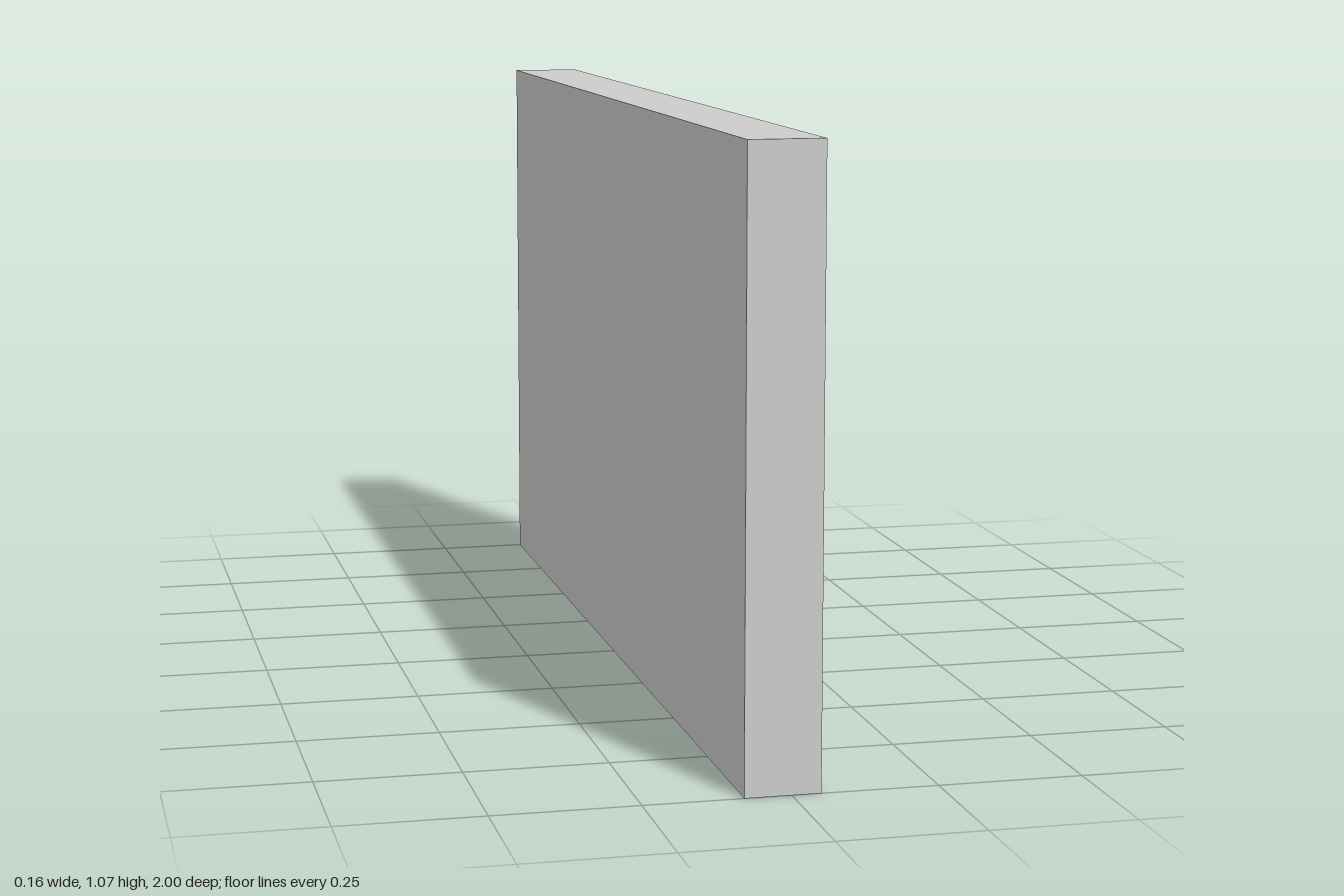
import * as THREE from 'three';
import { toCreasedNormals } from 'three/addons/utils/BufferGeometryUtils.js';

// Outlines are [u, y] with u = -z, counter-clockwise; depth runs along +x.
const BACK = -0.08, FRONT = 0.05, FLOOR = 0.023, POCKET = -0.042;

const rect = (u0, y0, u1, y1) => [[u0, y0], [u1, y0], [u1, y1], [u0, y1]];

// Fourteen-sided oval, shrunk by an inset
function oval(inset) {
  const q = [[1, 0], [0.916, 0.525], [0.68, 0.85], [0.326, 1]];
  const top = [...q, ...q.slice(1).reverse().map(([u, y]) => [-u, y]), [-1, 0]];
  const low = top.slice(1, -1).reverse().map(([u, y]) => [u, -y]);
  return [...top, ...low].map(([u, y]) => [0.422 + u * (0.418 - inset), 0.535 + y * (0.286 - inset)]);
}

// Skin between successive [outline, depth] rings, optionally closed at the front
function loft(rings, closed = false) {
  const n = rings[0][0].length, pos = [], idx = [];
  for (const [loop, d] of rings) for (const [u, y] of loop) pos.push(u, y, d);
  for (let r = 0; r < rings.length - 1; r++) {
    for (let i = 0; i < n; i++) {
      const a = r * n + i, b = r * n + (i + 1) % n;
      idx.push(a, b, b + n, a, b + n, a + n);
    }
  }
  if (closed) {
    const c = pos.length / 3, s = c - n;
    pos.push(0.422, 0.535, rings[rings.length - 1][1] + 0.001);
    for (let i = 0; i < n; i++) idx.push(s + i, s + (i + 1) % n, c);
  }
  const g = new THREE.BufferGeometry();
  g.setAttribute('position', new THREE.Float32BufferAttribute(pos, 3));
  g.setIndex(idx);
  return toCreasedNormals(g, 0.65);
}

// Flat face at a depth, with holes
function face(outline, depth, holes = []) {
  const pts = (l) => l.map(([u, y]) => new THREE.Vector2(u, y));
  const shape = new THREE.Shape(pts(outline));
  for (const h of holes) shape.holes.push(new THREE.Path(pts(h)));
  return new THREE.ShapeGeometry(shape).translate(0, 0, depth);
}

export function createModel() {
  const model = new THREE.Group();
  model.name = 'wallPanel';
  const body = new THREE.Group();
  body.name = 'panelBody';
  body.rotation.y = Math.PI / 2;
  model.add(body);
  const material = new THREE.MeshStandardMaterial({ color: 0xcccccc });
  const add = (name, geometry) => {
    const mesh = new THREE.Mesh(geometry, material);
    mesh.name = name;
    body.add(mesh);
  };
  // Walls of an opening face inward
  const opening = (loop, d0, d1) => {
    const back = [...loop].reverse();
    return loft([[back, d0], [back, d1]]);
  };

  const outer = rect(-1, 0, 1, 1.067);
  const inner = rect(-0.935, 0.07, 0.935, 0.998);
  const flared = [[-0.877, 0.361], [-0.47, 0.361], [-0.144, 0.24], [-0.144, 0.848], [-0.47, 0.81], [-0.877, 0.81]];
  const ovalHole = oval(0);

  // Slab and raised frame
  add('outerSides', loft([[outer, BACK], [outer, FRONT]]));
  add('backFace', new THREE.PlaneGeometry(2, 1.067).rotateY(Math.PI).translate(0, 1.067 / 2, BACK));
  add('frameFace', face(outer, FRONT, [inner]));
  add('frameInnerWalls', opening(inner, FLOOR, FRONT));
  add('panelFace', face(inner, FLOOR, [flared, ovalHole]));

  // Flared pocket and oval well
  for (const [name, loop] of [['flaredPocket', flared], ['ovalWell', ovalHole]]) {
    add(name + 'Walls', opening(loop, POCKET, FLOOR));
    add(name + 'Floor', face(loop, POCKET));
  }

  // Oval button: flange with a rounded cap
  add('buttonFlange', loft([[oval(0.018), POCKET], [oval(0.018), 0.056], [oval(0.034), 0.057]]));
  add('buttonCap', loft([
    [oval(0.032), 0.056], [oval(0.033), 0.064], [oval(0.037), 0.07],
    [oval(0.044), 0.074], [oval(0.055), 0.0755],
  ], true));

  return model;
}
